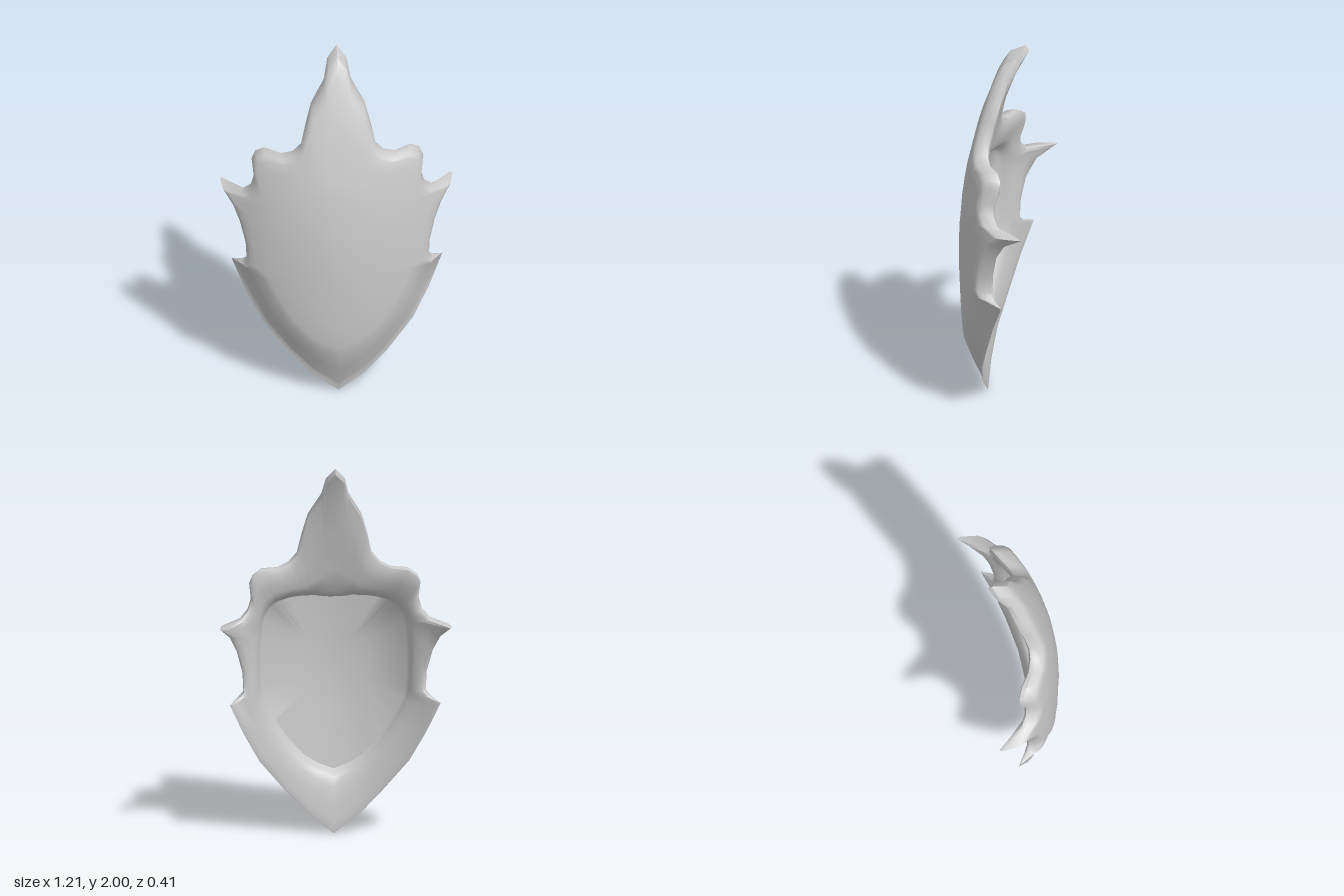
import * as THREE from 'three';
import { toCreasedNormals } from 'three/addons/utils/BufferGeometryUtils.js';

// Half outline from top tip to bottom tip: [outline x, y, hollow-edge x, y]
const HALF = [
  [0, 2, 0, 1.27], [0.05, 1.94, 0.025, 1.27], [0.07, 1.85, 0.045, 1.272],
  [0.14, 1.73, 0.075, 1.275], [0.17, 1.62, 0.1, 1.28], [0.195, 1.51, 0.13, 1.28],
  [0.24, 1.46, 0.18, 1.28], [0.3, 1.435, 0.24, 1.275], [0.385, 1.44, 0.3, 1.26],
  [0.43, 1.41, 0.335, 1.24], [0.447, 1.37, 0.355, 1.22], [0.437, 1.28, 0.37, 1.195],
  [0.455, 1.22, 0.38, 1.17], [0.5, 1.175, 0.385, 1.14], [0.605, 1.157, 0.39, 1.11],
  [0.55, 1.09, 0.395, 1.06], [0.51, 1.0, 0.4, 0.98], [0.48, 0.88, 0.4, 0.87],
  [0.475, 0.78, 0.395, 0.78], [0.5, 0.755, 0.39, 0.75], [0.55, 0.73, 0.38, 0.71],
  [0.475, 0.56, 0.32, 0.59], [0.39, 0.4, 0.25, 0.48], [0.26, 0.24, 0.16, 0.38],
  [0.14, 0.11, 0.08, 0.33], [0, 0, 0, 0.3],
];
const BEVEL_START = 20; // outline points from here on get the lower front bevel
const CENTRE_Y = 0.85;

// Rings from front centre, over the edge, to back centre: [position, depth, bevel depth].
// Position 0 = centre, 1 = hollow edge, 2 = outline.
const RINGS = [
  [0, 0, 0], [0.35, 0, 0], [0.7, 0, 0], [0.95, 0, 0], [1.08, 0, 0.004], [1.5, 0, 0.036],
  [1.82, 0, 0.066], [1.88, 0.004, 0.07], [1.95, 0.015, 0.0705], [2, 0.045, 0.071],
  [1.96, 0.075, 0.075], [1.8, 0.09, 0.08], [1.5, 0.095, 0.088], [1.2, 0.09, 0.086],
  [1.03, 0.078, 0.078], [0.98, 0.055, 0.055], [0.95, 0.03, 0.03], [0.45, 0.028, 0.028], [0, 0.028, 0.028],
];

// Spots where the back is thicker: side spike, shoulder knob, top tip [x, y, amount, radius squared]
const BUMPS = [[0.62, 1.16, 0.05, 0.006], [0.4, 1.42, 0.018, 0.01], [0, 1.97, 0.035, 0.01]];

// Curved front surface: bowed across x and bent back along y
function frontZ(x, y) {
  const d = y - CENTRE_Y;
  const spine = 0.197 - (d > 0 ? 0.198 * d ** 2.1 : 0.1 * d * d);
  return spine + Math.sqrt(0.78 ** 2 - x * x) - 0.78;
}

function backBump(x, y) {
  return BUMPS.reduce((sum, [bx, by, amount, r2]) =>
    sum + amount * Math.exp(-((x - bx) ** 2 + (y - by) ** 2) / r2), 0);
}

function ringPoint([ox, oy, hx, hy], t) {
  if (t <= 1) return [hx * t, CENTRE_Y + (hy - CENTRE_Y) * t];
  const k = t - 1;
  return [hx + (ox - hx) * k, hy + (oy - hy) * k];
}

function shieldGeometry() {
  // Full loop: down the +x side, back up the mirrored side
  const loop = HALF.map((row, i) => ({ row, side: 1, bevel: i >= BEVEL_START }));
  loop.push(...loop.slice(1, -1).reverse().map((p) => ({ ...p, side: -1 })));
  const n = loop.length;

  const positions = [];
  const index = [];
  RINGS.forEach(([t, depth, bevelDepth]) => {
    for (const { row, side, bevel } of loop) {
      const [x, y] = ringPoint(row, t);
      const extra = depth > 0.04 ? backBump(x, y) : 0;
      positions.push(x * side, y, frontZ(x, y) - (bevel ? bevelDepth : depth) - extra);
    }
  });
  for (let r = 0; r < RINGS.length - 1; r++) {
    for (let i = 0; i < n; i++) {
      const j = (i + 1) % n;
      const a = r * n + i, b = a + n, c = (r + 1) * n + j, d = r * n + j;
      if (r < RINGS.length - 2) index.push(a, c, b);
      if (r > 0) index.push(a, d, c);
    }
  }
  const geometry = new THREE.BufferGeometry();
  geometry.setAttribute('position', new THREE.Float32BufferAttribute(positions, 3));
  geometry.setIndex(index);
  return toCreasedNormals(geometry, 0.9);
}

export function createModel() {
  const group = new THREE.Group();
  group.name = 'shield';
  const body = new THREE.Mesh(
    shieldGeometry(),
    new THREE.MeshStandardMaterial({ color: 0xcccccc })
  );
  body.name = 'shieldBody';
  group.add(body);
  return group;
}
